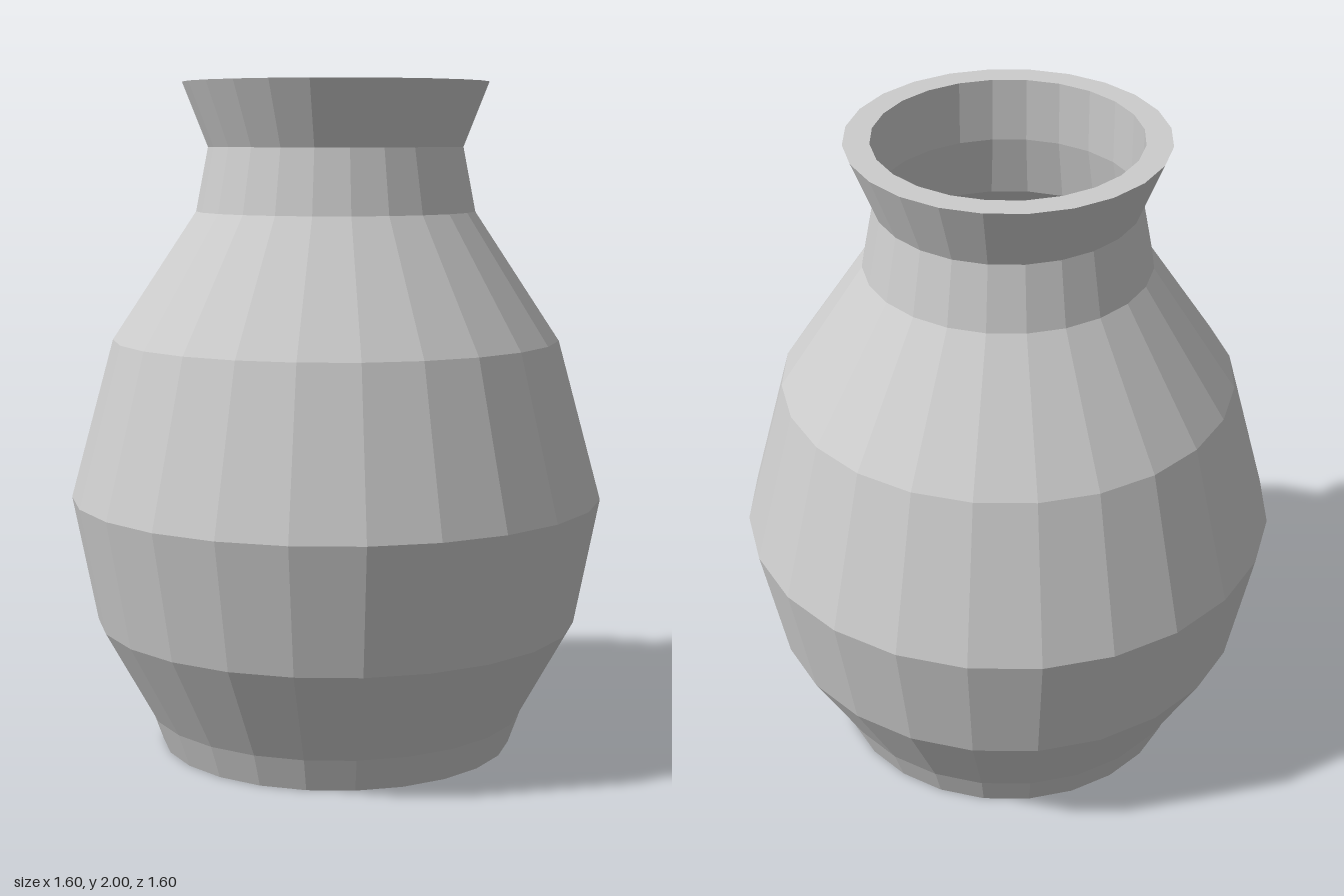
import * as THREE from 'three';

export function createModel() {
  const group = new THREE.Group();
  group.name = 'vase';
  const clay = new THREE.MeshStandardMaterial({ color: 0xcccccc, flatShading: true, side: THREE.DoubleSide });
  clay.name = 'grey clay';

  // Turns a profile of [radius, height] pairs into a faceted 24-sided surface
  const turn = (name, profile) => {
    const points = profile.map(([r, y]) => new THREE.Vector2(r, y));
    const geometry = new THREE.LatheGeometry(points, 24).toNonIndexed();
    geometry.computeVertexNormals();
    const mesh = new THREE.Mesh(geometry, clay);
    mesh.name = name;
    group.add(mesh);
  };

  // Flat bottom, which is also the floor inside
  turn('base', [[0, 0], [0.534, 0]]);

  // Belly and shoulder up to the narrow neck
  turn('body', [[0.534, 0], [0.57, 0.1], [0.727, 0.385], [0.8, 0.765], [0.67, 1.24], [0.418, 1.62], [0.381, 1.81]]);

  // Flared lip, flat rim and straight inner wall of the mouth
  turn('lip', [[0.381, 1.81], [0.456, 2], [0.381, 2], [0.381, 1.81]]);

  return group;
}
